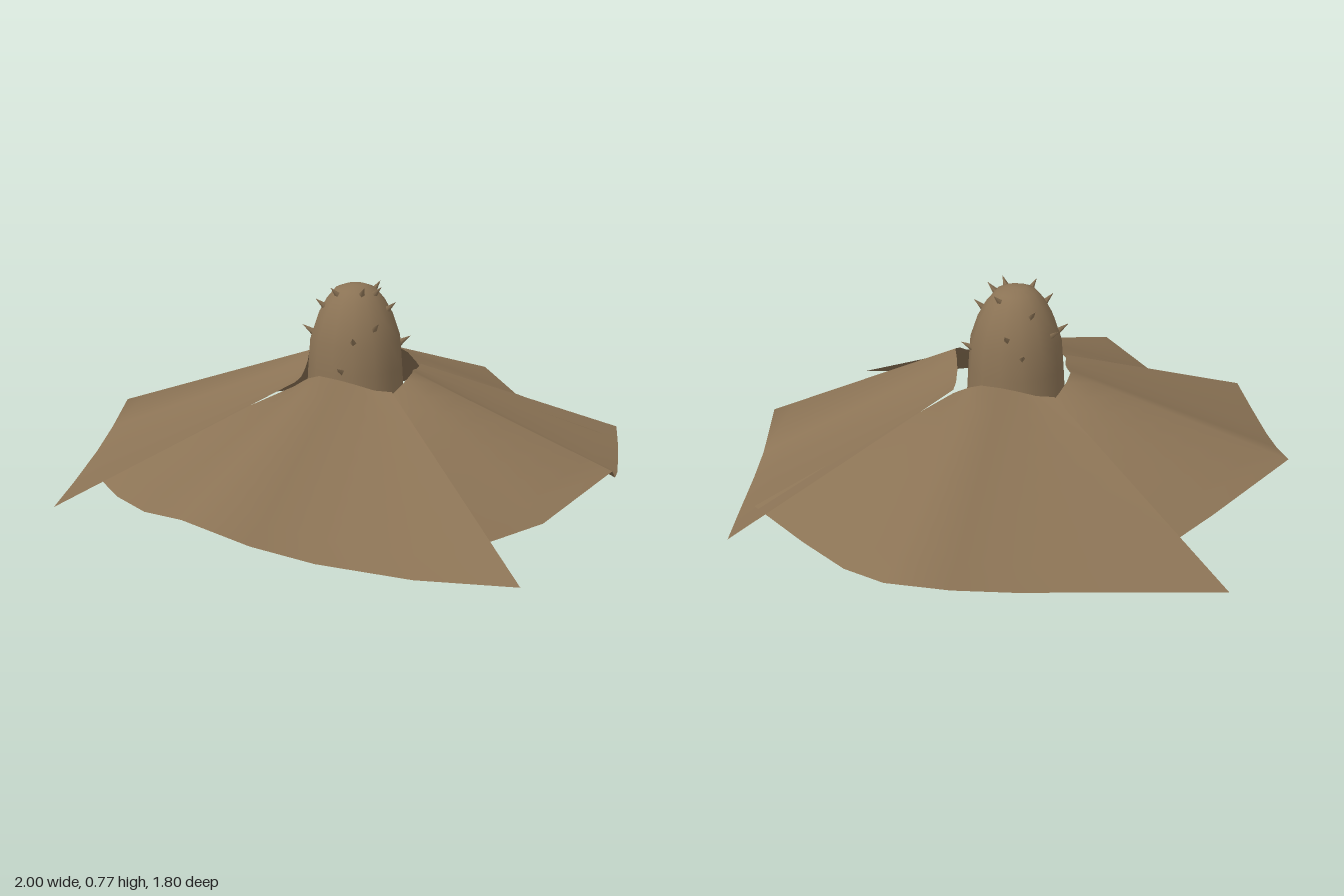
import * as THREE from 'three';

const bark = new THREE.MeshStandardMaterial({ color: 0x8b7355, side: THREE.DoubleSide });
bark.name = 'bark brown';

// Hem of each sheet: low tip first, raised ridge corner fifth, tucked-under end last
const hems = {
  frontSheet: [[.52, .06, .9], [.2, .06, .865], [-.1, .09, .83], [-.3, .135, .81],
    [-.51, .21, .79], [-.68, .13, .55], [-.81, .11, .38], [-.93, .12, .2]],
  leftSheet: [[1, .1, -.44], [.98, .08, -.25], [.94, .08, 0], [.91, .11, .13],
    [.87, .2, .3], [.62, .105, .53], [.39, .095, .7], [.25, .11, .77]],
  backSheet: [[-.57, .07, -.9], [-.2, .1, -.895], [.1, .125, -.895], [.3, .155, -.9],
    [.5, .2, -.9], [.62, .14, -.72], [.75, .14, -.55], [.92, .125, -.28]],
  rightSheet: [[-1, .11, .48], [-.99, .11, .25], [-.97, .13, 0], [-.95, .165, -.17],
    [-.93, .215, -.35], [-.6, .155, -.58], [-.43, .135, -.7], [-.3, .125, -.78]],
};

// Collar edge of the front sheet, turned a quarter for each next sheet
const collar = [[.12, .445, .22], [.06, .445, .205], [0, .46, .195], [-.06, .475, .19],
  [-.13, .49, .19], [-.17, .475, .17], [-.2, .45, .14], [-.22, .43, .115]];

// Sheet ruled between its collar and its hem
function makeSheet(name, hem, quarterTurn) {
  const steps = 8, rows = steps + 1, pos = [], index = [];
  const up = new THREE.Vector3(0, 1, 0);
  hem.forEach((h, i) => {
    const inner = new THREE.Vector3(...collar[i]).applyAxisAngle(up, quarterTurn * Math.PI / 2);
    const outer = new THREE.Vector3(...h);
    for (let j = 0; j < rows; j++) pos.push(...inner.clone().lerp(outer, j / steps).toArray());
  });
  for (let i = 0; i < hem.length - 1; i++) {
    for (let j = 0; j < steps; j++) {
      const a = i * rows + j, b = a + rows;
      index.push(a, b, a + 1, b, b + 1, a + 1);
    }
  }
  const geo = new THREE.BufferGeometry();
  geo.setAttribute('position', new THREE.Float32BufferAttribute(pos, 3));
  geo.setIndex(index);
  geo.computeVertexNormals();
  const mesh = new THREE.Mesh(geo, bark);
  mesh.name = name;
  return mesh;
}

// Post radius by height
const profile = [[.2, .005], [.19, .15], [.18, .32], [.17, .48], [.162, .58], [.135, .66],
  [.105, .715], [.07, .757], [.035, .77], [0, .772]];
const postRadius = y => {
  const k = Math.max(1, profile.findIndex(p => p[1] >= y));
  const [r0, y0] = profile[k - 1], [r1, y1] = profile[k];
  return THREE.MathUtils.mapLinear(y, y0, y1, r0, r1);
};

export function createModel() {
  const model = new THREE.Group();
  model.name = 'layeredShelter';

  // Overlapping roof sheets
  const turns = { frontSheet: 0, leftSheet: 1, backSheet: 2, rightSheet: 3 };
  for (const name in hems) model.add(makeSheet(name, hems[name], turns[name]));

  // Domed post, open underneath
  const post = new THREE.Group();
  post.name = 'post';
  post.position.x = -.015;
  const trunk = new THREE.Mesh(
    new THREE.LatheGeometry(profile.map(([r, y]) => new THREE.Vector2(r, y)), 14), bark);
  trunk.name = 'trunk';
  post.add(trunk);

  // Small thorns on the dome: angle from the front towards +x, height
  const thorns = [[-90, .6], [-75, .7], [-50, .745], [20, .75], [75, .69], [95, .56], [30, .64],
    [0, .6], [-15, .5], [180, .57], [160, .63], [200, .7], [130, .74], [-130, .62], [60, .745]];
  const up = new THREE.Vector3(0, 1, 0);
  thorns.forEach(([deg, y], i) => {
    const a = THREE.MathUtils.degToRad(deg), r = postRadius(y);
    const dir = new THREE.Vector3(Math.sin(a), .5 + (y - .5) * 2, Math.cos(a)).normalize();
    const thorn = new THREE.Mesh(new THREE.ConeGeometry(.013, .05, 4), bark);
    thorn.name = 'thorn' + (i + 1);
    thorn.position.set(Math.sin(a) * r, y, Math.cos(a) * r).addScaledVector(dir, .015);
    thorn.quaternion.setFromUnitVectors(up, dir);
    post.add(thorn);
  });
  model.add(post);
  return model;
}
